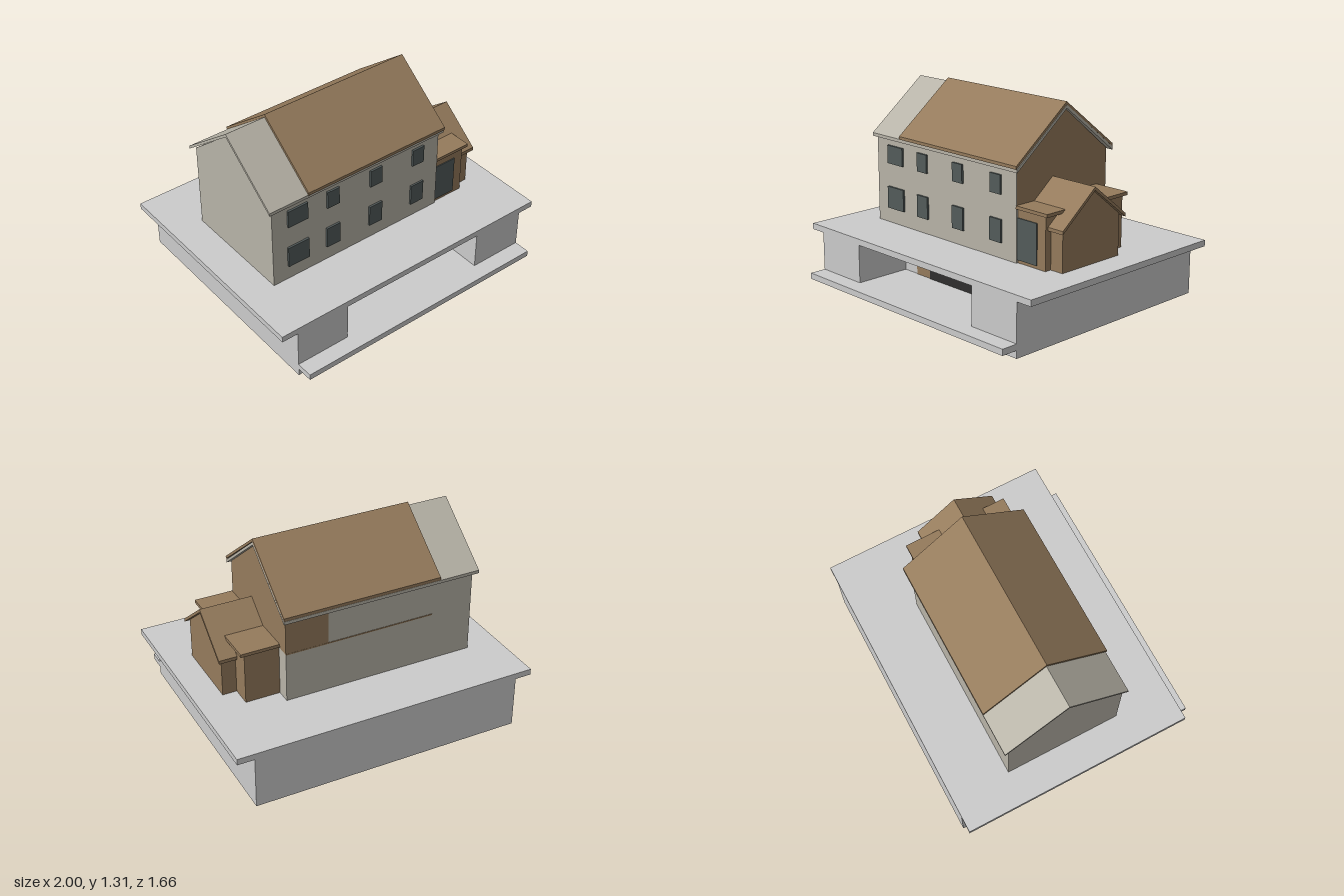
import * as THREE from 'three';

const mat = (color) => new THREE.MeshStandardMaterial({ color });

export function createModel() {
  const model = new THREE.Group();
  const grey = mat(0xcccccc), beige = mat(0xb8b4a8), brown = mat(0x957b5c);
  const glass = mat(0x535c5b), black = mat(0x302f2e);

  function add(name, geometry, material) {
    const mesh = new THREE.Mesh(geometry, material);
    mesh.name = name;
    model.add(mesh);
  }

  // Box given by its limits on each axis
  function box(name, material, x0, x1, y0, y1, z0, z1) {
    const g = new THREE.BoxGeometry(x1 - x0, y1 - y0, z1 - z0);
    g.translate((x0 + x1) / 2, (y0 + y1) / 2, (z0 + z1) / 2);
    add(name, g, material);
  }

  // Outline of [z, y] points extruded along x
  function prism(name, material, x0, x1, points) {
    const shape = new THREE.Shape(points.map(([z, y]) => new THREE.Vector2(-z, y)));
    const g = new THREE.ExtrudeGeometry(shape, { depth: x1 - x0, bevelEnabled: false });
    g.rotateY(Math.PI / 2).translate(x0, 0, 0);
    add(name, g, material);
  }

  // Wall block with a gable top
  const gable = (name, material, x0, x1, y0, back, front, eave, ridgeZ, ridgeY) =>
    prism(name, material, x0, x1,
      [[front, y0], [back, y0], [back, eave], [ridgeZ, ridgeY], [front, eave]]);

  // Folded roof sheet of vertical thickness t
  const roof = (name, material, x0, x1, back, front, eave, ridgeZ, ridgeY, t) =>
    prism(name, material, x0, x1,
      [[front, eave], [ridgeZ, ridgeY], [back, eave],
        [back, eave - t], [ridgeZ, ridgeY - t], [front, eave - t]]);

  // Basement with a recessed entrance, and the terrace above
  box('basementBody', grey, -0.89, 0.89, 0, 0.34, -0.83, 0.34);
  for (const s of [-1, 1]) {
    const xs = [s * 0.52, s * 0.89].sort((a, b) => a - b);
    box('basementPier', grey, xs[0], xs[1], 0, 0.34, 0.34, 0.72);
  }
  box('entranceFooting', beige, -0.52, 0.52, 0, 0.05, 0.34, 0.72);
  box('entranceFloor', grey, -0.52, 0.52, 0.05, 0.09, 0.34, 0.72);
  box('entranceLedge', grey, -0.89, 0.89, 0.05, 0.09, 0.72, 0.83);
  box('entrancePanel', brown, -0.4, 0.4, 0.09, 0.34, 0.335, 0.345);
  box('entranceDoor', black, -0.27, 0.27, 0.09, 0.325, 0.34, 0.35);
  box('terraceSlab', grey, -1, 1, 0.34, 0.38, -0.83, 0.72);

  // Main house walls
  gable('leftWing', beige, -0.78, -0.5, 0.38, -0.44, 0.338, 0.955, -0.055, 1.268);
  gable('mainHouse', beige, -0.5, 0.5, 0.38, -0.44, 0.338, 0.955, -0.055, 1.268);
  gable('gableCladding', brown, 0.22, 0.502, 0.71, -0.442, 0.335, 0.955, -0.055, 1.267);
  box('rearTrim', brown, -0.5, 0.5, 0.705, 0.713, -0.443, -0.43);

  // Main roof: lower sheet, and brown covering over the main part
  roof('lowerRoof', beige, -0.805, 0.525, -0.475, 0.358, 0.961, -0.057, 1.285, 0.021);
  roof('roofCovering', brown, -0.53, 0.525, -0.475, 0.366, 0.982, -0.055, 1.306, 0.02);

  // Front windows in four columns: [centre x, lower width, upper width]
  const columns = [
    [-0.597, 0.155, 0.145], [-0.335, 0.1, 0.09], [-0.005, 0.1, 0.09], [0.33, 0.1, 0.09],
  ];
  for (const [x, low, high] of columns) {
    box('lowerWindow', glass, x - low / 2, x + low / 2, 0.48, 0.625, 0.33, 0.351);
    box('upperWindow', glass, x - high / 2, x + high / 2, 0.78, 0.9, 0.33, 0.351);
  }

  // Flat-roofed side annex
  box('annexWalls', brown, 0.5, 0.727, 0.38, 0.716, -0.345, 0.325);
  box('annexRoof', brown, 0.5, 0.755, 0.716, 0.737, -0.36, 0.344);
  box('annexWindow', glass, 0.5, 0.66, 0.4, 0.66, 0.315, 0.332);

  // Small gabled porch
  gable('porchWalls', brown, 0.5, 0.82, 0.38, -0.21, 0.28, 0.645, 0.035, 0.84);
  roof('porchRoof', brown, 0.5, 0.845, -0.238, 0.306, 0.647, 0.035, 0.861, 0.022);

  return model;
}
